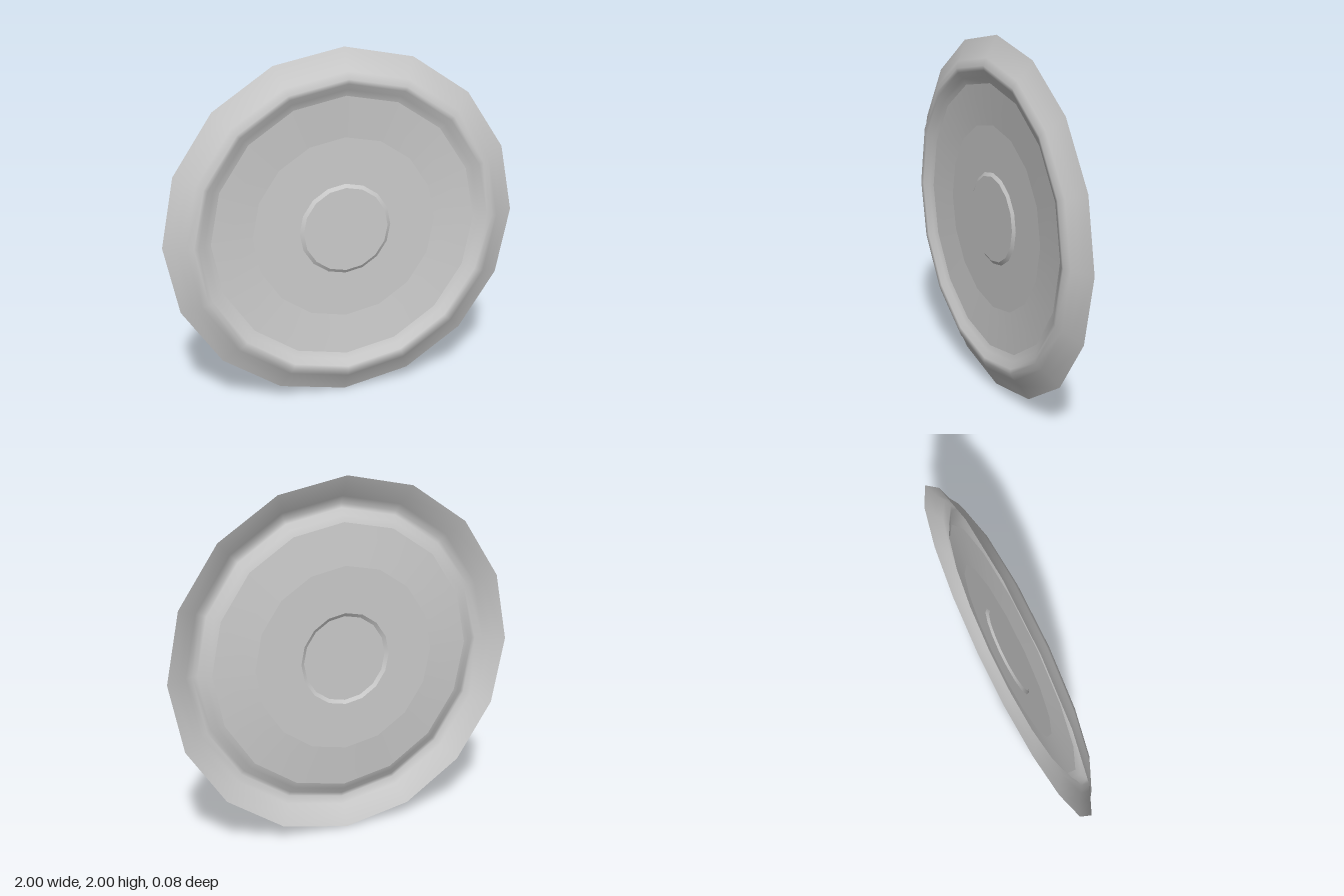
import * as THREE from 'three';

const SIDES = 16;

// Each band is a profile of [radius, depth] from the outside in; bands meet at hard creases.
const BANDS = {
  rolledRim: [[1, -0.04], [0.925, -0.007], [0.885, 0.022], [0.845, 0.04], [0.82, 0.035], [0.785, 0.012], [0.75, 0]],
  slopedWell: [[0.75, 0], [0.52, -0.02]],
  flatFloor: [[0.52, -0.02], [0.26, -0.02]],
  centreStep: [[0.26, -0.02], [0.24, -0.008]],
  centreDisc: [[0.24, -0.008], [0, -0.008]],
};

export function createModel() {
  const dish = new THREE.Group();
  dish.name = 'dish';
  // Thin sheet, visible from both sides
  const material = new THREE.MeshStandardMaterial({ color: 0xcccccc, side: THREE.DoubleSide });

  for (const [name, profile] of Object.entries(BANDS)) {
    const points = profile.map(([r, d]) => new THREE.Vector2(r, d));
    const geometry = new THREE.LatheGeometry(points, SIDES);
    geometry.rotateX(Math.PI / 2); // stand the dish on edge, facing +z
    geometry.translate(0, 1, 0);
    const mesh = new THREE.Mesh(geometry, material);
    mesh.name = name;
    dish.add(mesh);
  }
  return dish;
}
